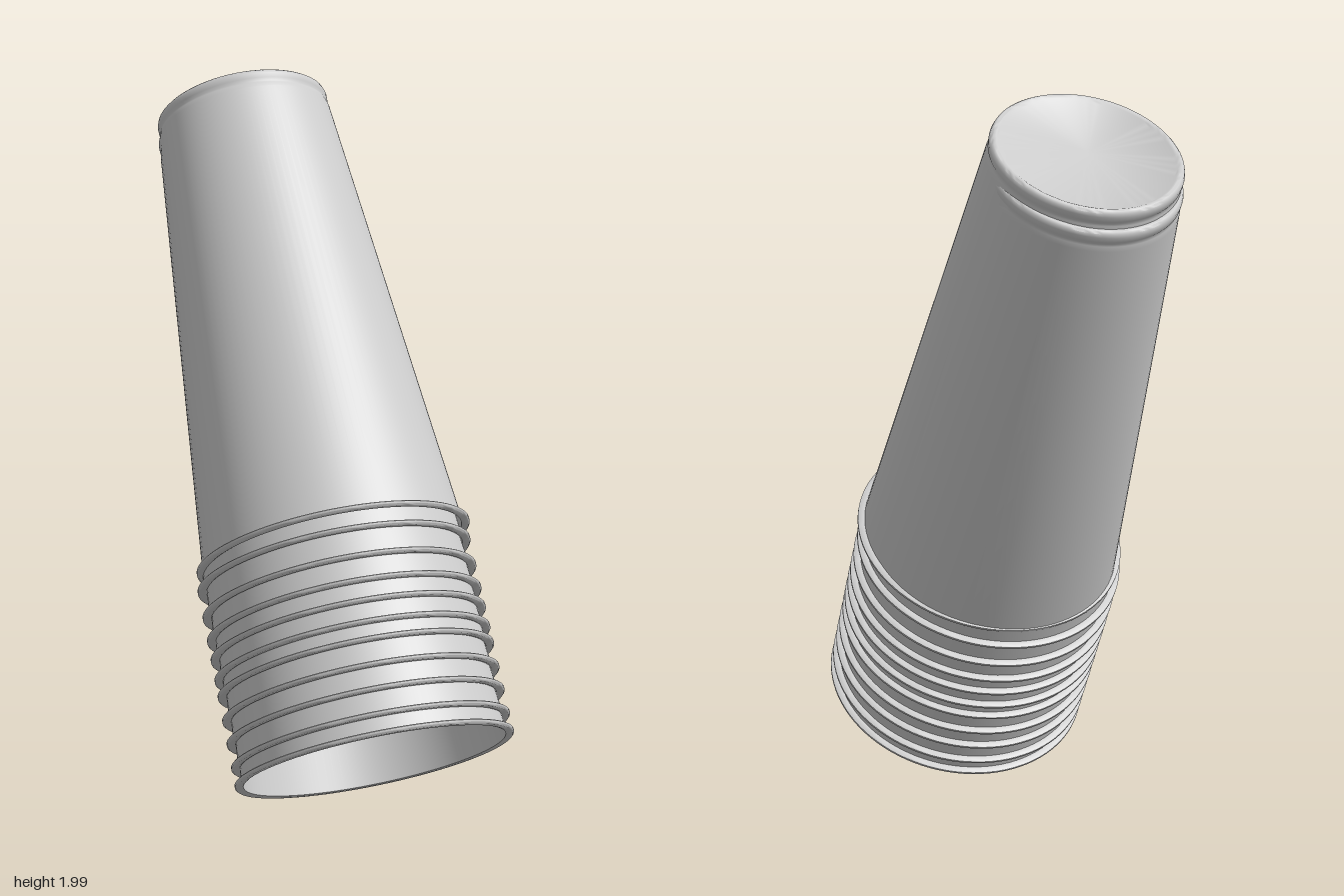
import * as THREE from 'three';
import { toCreasedNormals } from 'three/addons/utils/BufferGeometryUtils.js';

// One upturned cup: base at y = 0, mouth at y = -1.347.
function cupGeometry() {
  const profile = [
    // inside, from the base centre down to the mouth
    [0, -0.012], [0.232, -0.012], [0.24, -0.02], [0.241, -0.04], [0.355, -1.346],
    // rolled lip
    [0.36, -1.348], [0.374, -1.348], [0.378, -1.344], [0.378, -1.338], [0.374, -1.335], [0.359, -1.335],
    // outside wall, up to a shallow groove and the rounded foot
    [0.2495, -0.055], [0.246, -0.042], [0.244, -0.036], [0.2475, -0.028],
    [0.248, -0.014], [0.245, -0.005], [0.239, 0], [0.231, 0], [0.226, -0.003], [0.222, -0.006],
    // recessed base
    [0, -0.006],
  ].map(([r, y]) => new THREE.Vector2(r, y));
  return toCreasedNormals(new THREE.LatheGeometry(profile, 96), 0.9);
}

export function createModel() {
  const model = new THREE.Group();
  model.name = 'cupStack';
  const material = new THREE.MeshStandardMaterial({ color: 0xcccccc, side: THREE.DoubleSide });
  const geometry = cupGeometry();

  // Slightly uneven distances of the cups below the outermost one
  const drops = [0, 0.047, 0.121, 0.186, 0.24, 0.296, 0.342, 0.408, 0.471, 0.536, 0.585];
  drops.forEach((drop, i) => {
    const cup = new THREE.Mesh(geometry, material);
    cup.name = `cup${i + 1}`;
    // The outermost cup sits a little forward of the others
    cup.position.set(0, -drop, i === 0 ? 0.008 : -0.012);
    model.add(cup);
  });

  // The whole stack leans backwards
  model.rotation.x = -Math.PI / 6;
  model.position.set(0, 1.876, -0.535);
  const root = new THREE.Group();
  root.name = 'leaningCupStack';
  root.add(model);
  return root;
}
